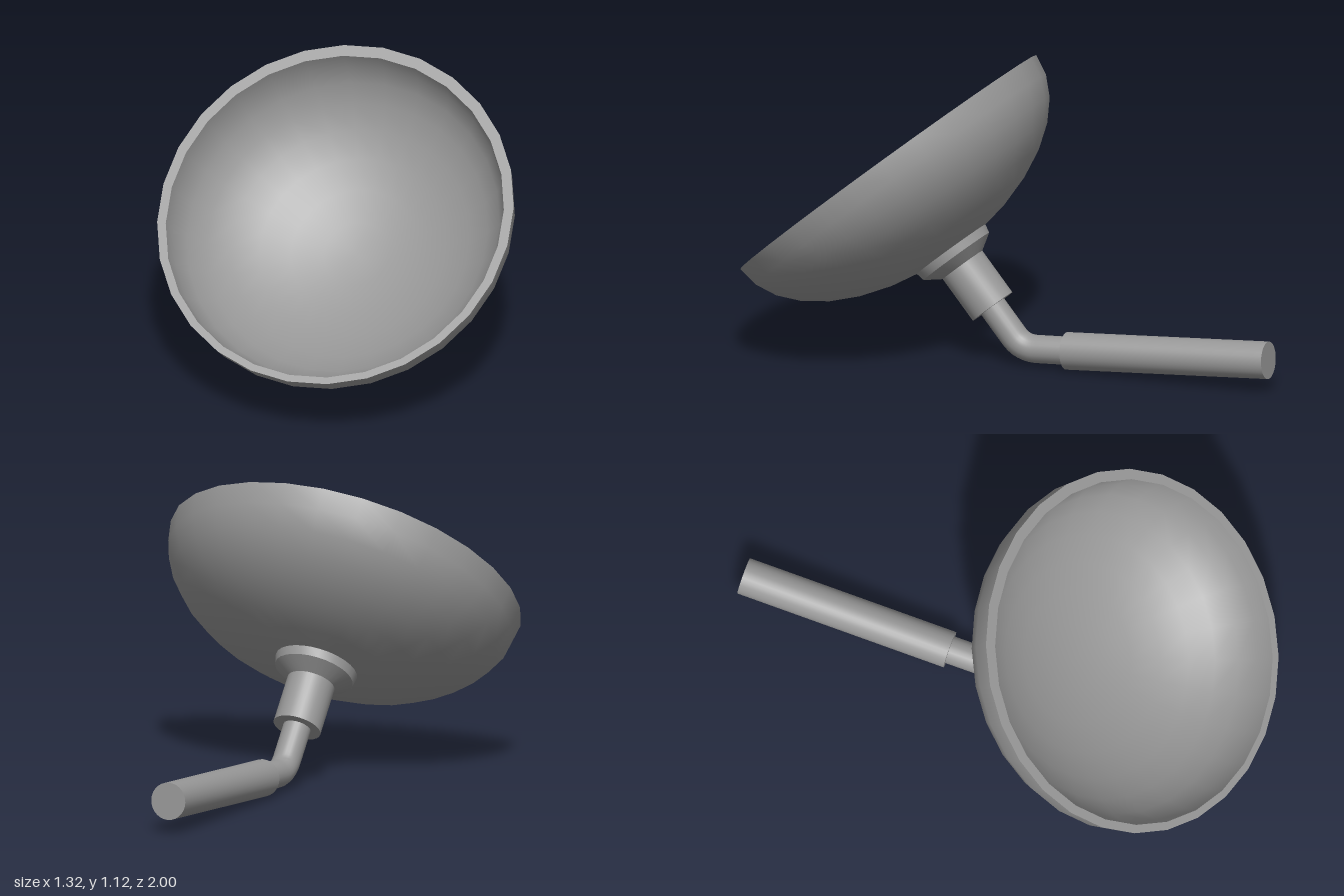
import * as THREE from 'three';
import { toCreasedNormals } from 'three/addons/utils/BufferGeometryUtils.js';

const TILT = THREE.MathUtils.degToRad(39.45);
const RIM = new THREE.Vector3(0, 0.701, 0.4915); // centre of the bowl's rim
const AXIS = new THREE.Vector3(0, Math.cos(TILT), Math.sin(TILT));

const material = new THREE.MeshStandardMaterial({ color: 0x979797 });

function part(name, geometry) {
  const mesh = new THREE.Mesh(toCreasedNormals(geometry, 0.5), material);
  mesh.name = name;
  return mesh;
}

// Profile of [radius, height] pairs, listed from the bottom up the outside
function lathe(profile, segments) {
  return new THREE.LatheGeometry(profile.map(([r, y]) => new THREE.Vector2(r, y)), segments);
}

// Half-ellipse from the bottom pole (a = 0) to the rim (a = 90 degrees)
function halfEllipse(radius, depth, rings) {
  return Array.from({ length: rings + 1 }, (_, i) => {
    const a = (i / rings) * Math.PI / 2;
    return i === 0 ? [0, -depth] : [radius * Math.sin(a), i === rings ? 0 : -depth * Math.cos(a)];
  });
}

// Hollow bowl whose inside sits slightly off centre, so the lip is thicker at the back
function bowlGeometry() {
  const outer = halfEllipse(0.659, 0.4, 8);
  const inner = halfEllipse(0.625, 0.37, 8).reverse();
  const geometry = lathe([...outer, ...inner], 28);
  const position = geometry.attributes.position;
  const ringSize = outer.length + inner.length;
  for (let i = 0; i < position.count; i++) {
    if (i % ringSize >= outer.length) position.setZ(i, position.getZ(i) + 0.008);
  }
  return geometry;
}

// Point on the bowl's axis, at a given depth below the rim
const onAxis = (depth) => RIM.clone().addScaledVector(AXIS, -depth);

export function createModel() {
  const model = new THREE.Group();
  model.name = 'dishOnHandle';

  // Tilted head: bowl shell and the socket below it
  const head = new THREE.Group();
  head.name = 'head';
  head.position.copy(RIM);
  head.rotation.x = TILT;
  head.add(part('bowl', bowlGeometry()));
  head.add(part('socket', lathe([
    [0, -0.643], [0.088, -0.643], [0.088, -0.458], [0.146, -0.42], [0.154, -0.382], [0, -0.382],
  ], 28)));
  model.add(head);

  // Handle axis, rising slightly towards the back
  const gripStart = new THREE.Vector3(0, 0.07, -0.207);
  const gripEnd = new THREE.Vector3(0, 0.121, -0.996);

  // Bent neck joining socket and handle
  const neckPath = new THREE.CurvePath();
  const bendStart = onAxis(0.775);
  const bendEnd = new THREE.Vector3(0, 0.0645, -0.095);
  neckPath.add(new THREE.LineCurve3(onAxis(0.6), bendStart));
  neckPath.add(new THREE.QuadraticBezierCurve3(bendStart, new THREE.Vector3(0, 0.0605, -0.0355), bendEnd));
  neckPath.add(new THREE.LineCurve3(bendEnd, gripStart.clone().lerp(gripEnd, 0.04)));
  model.add(part('neck', new THREE.TubeGeometry(neckPath, 28, 0.051, 24)));

  // Straight handle
  const along = gripEnd.clone().sub(gripStart);
  const handle = part('handle', new THREE.CylinderGeometry(0.068, 0.068, along.length(), 28));
  handle.position.copy(gripStart).add(gripEnd).multiplyScalar(0.5);
  handle.quaternion.setFromUnitVectors(new THREE.Vector3(0, 1, 0), along.normalize());
  model.add(handle);

  return model;
}
